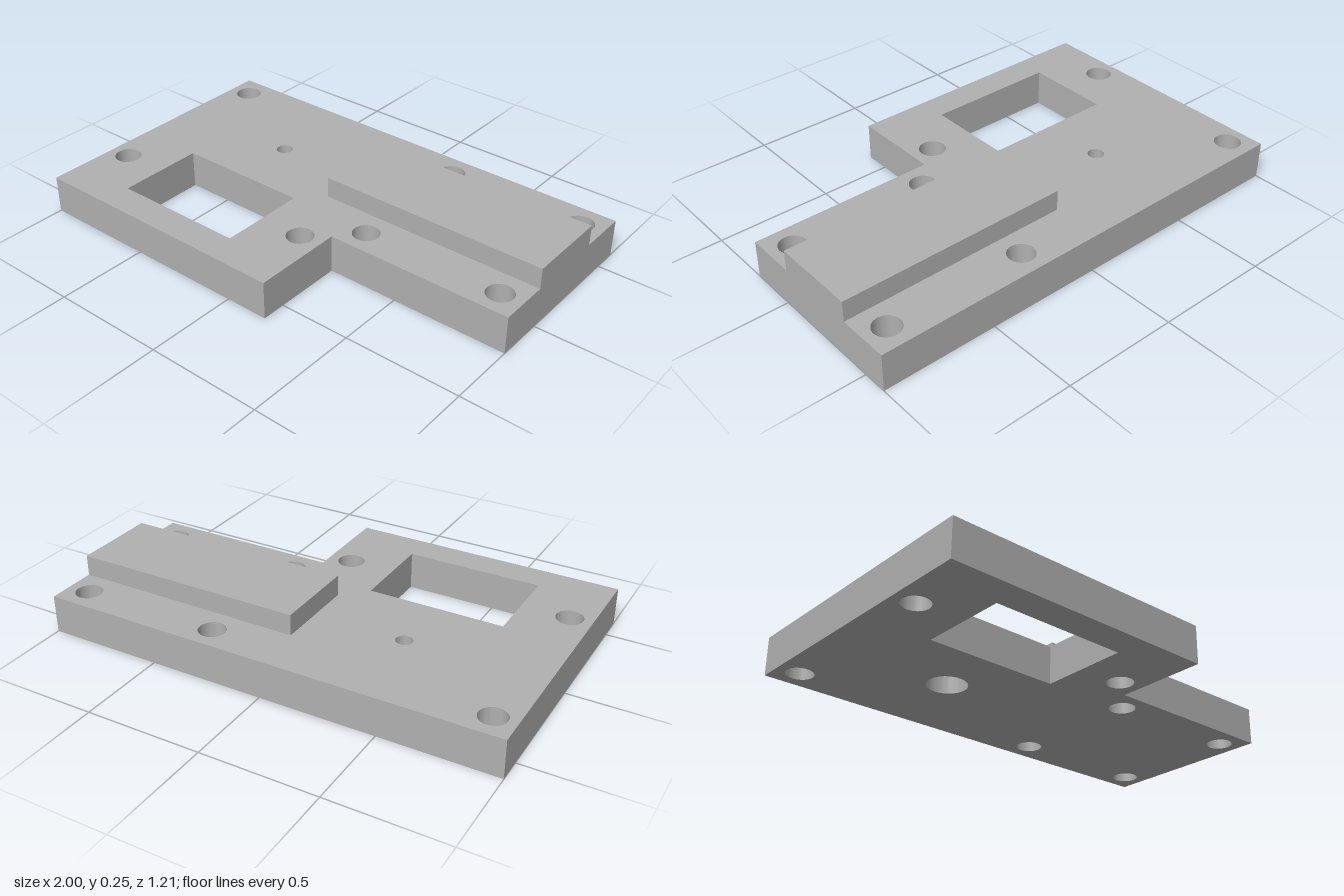
import * as THREE from 'three';
import { toCreasedNormals } from 'three/addons/utils/BufferGeometryUtils.js';

const PLATE = 0.165;

// Closed outline from [x, z] corners, laid flat (shape y = -z)
const flat = (corners) => corners.map(([x, z]) => new THREE.Vector2(x, -z));

const circle = (Type, x, z, r) => {
  const c = new Type();
  c.absarc(x, -z, r, 0, Math.PI * 2, false);
  return c;
};

// Extrude a flat shape upward from y0 to y1
function slab(name, shape, y0, y1, material) {
  const raw = new THREE.ExtrudeGeometry(shape, { depth: y1 - y0, bevelEnabled: false, curveSegments: 32 });
  raw.rotateX(-Math.PI / 2).translate(0, y0, 0);
  const mesh = new THREE.Mesh(toCreasedNormals(raw, 0.6), material);
  mesh.name = name;
  return mesh;
}

export function createModel() {
  const group = new THREE.Group();
  group.name = 'mountingPlate';
  const grey = new THREE.MeshStandardMaterial({ color: 0xb0b0b0 });
  grey.name = 'machined grey';

  // L-shaped plate
  const outline = new THREE.Shape(flat([
    [-1, 0.605], [0.19, 0.605], [0.19, 0.205], [1, 0.205], [1, -0.605], [-1, -0.605],
  ]));

  // Rectangular window
  outline.holes.push(new THREE.Path(flat([
    [-0.7, 0.47], [-0.7, 0.085], [-0.11, 0.085], [-0.11, 0.47],
  ])));

  // Screw holes
  const screws = [
    [-0.905, -0.5], [0.28, -0.5], [0.9, -0.5],
    [-0.905, 0.28], [0.09, 0.28], [0.28, 0.1], [0.9, 0.1],
  ];
  for (const [x, z] of screws) outline.holes.push(circle(THREE.Path, x, z, 0.057));

  // Counterbored hole: wide from below, narrowed by a collar near the top
  const bore = [-0.41, -0.2];
  outline.holes.push(circle(THREE.Path, ...bore, 0.085));
  group.add(slab('basePlate', outline, 0, PLATE, grey));

  const collar = circle(THREE.Shape, ...bore, 0.085);
  collar.holes.push(circle(THREE.Path, ...bore, 0.035));
  group.add(slab('counterboreCollar', collar, 0.12, PLATE, grey));

  // Raised block, flush with the left end
  const block = new THREE.Shape(flat([
    [-0.01, -0.015], [1, -0.015], [1, -0.385], [-0.01, -0.385],
  ]));
  group.add(slab('raisedBlock', block, PLATE, 0.255, grey));

  return group;
}
